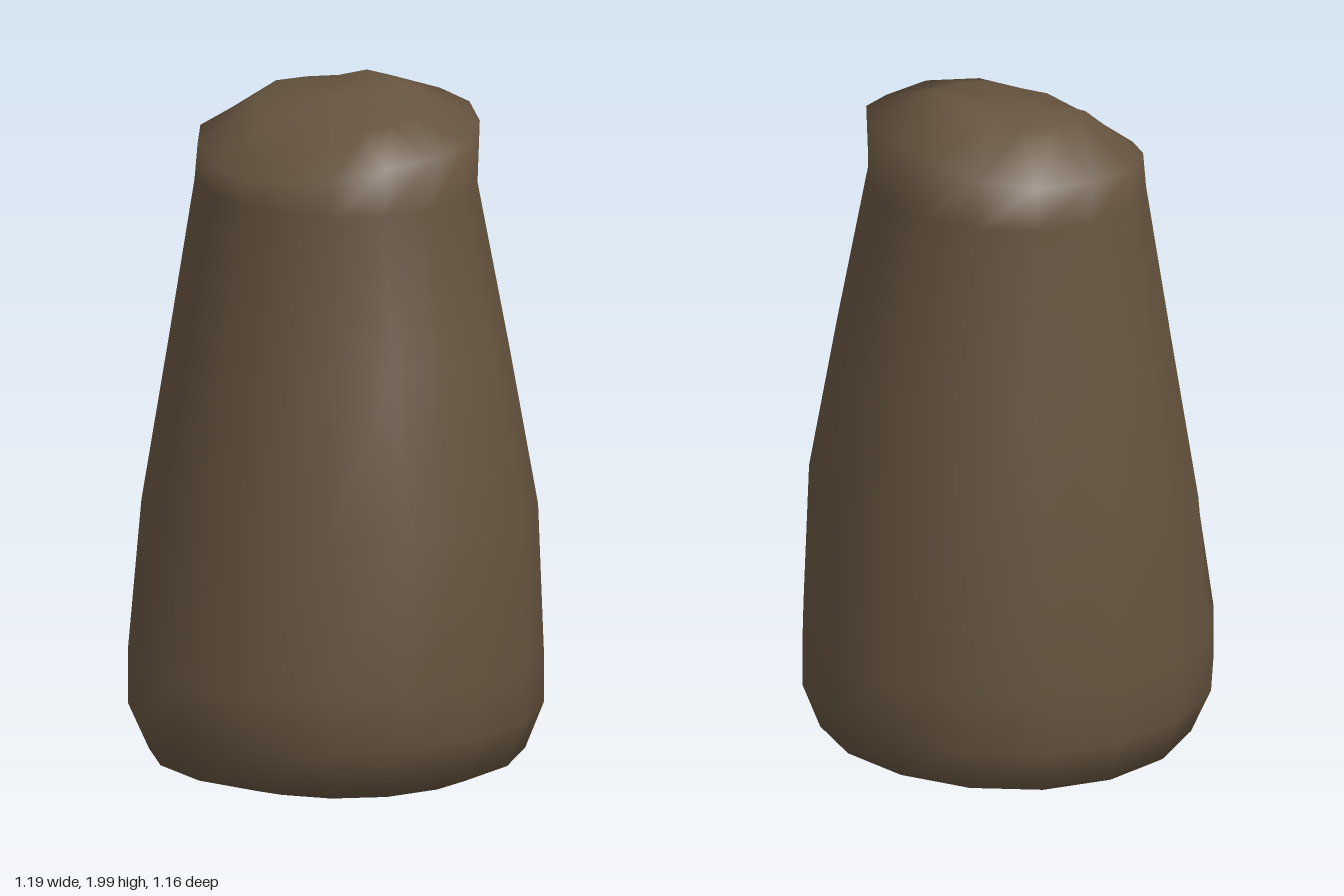
import * as THREE from 'three';

const SIDES = 16;

// Each ring: radius and height towards +x (left), -z (back), -x (right), +z (front)
const RINGS = [
  { r: [0.20, 0.20, 0.20, 0.20], y: [0.02, 0.02, 0.015, 0.02] },
  { r: [0.38, 0.41, 0.36, 0.42], y: [0.03, 0.02, 0.01, 0.02] },
  { r: [0.54, 0.53, 0.53, 0.53], y: [0.07, 0.05, 0.06, 0.065] },
  { r: [0.59, 0.58, 0.597, 0.585], y: [0.20, 0.18, 0.19, 0.20] },
  { r: [0.59, 0.58, 0.597, 0.585], y: [0.36, 0.36, 0.35, 0.36] },
  { r: [0.558, 0.575, 0.528, 0.585], y: [0.74, 0.78, 0.78, 0.82] },
  { r: [0.50, 0.50, 0.447, 0.482], y: [1.20, 1.25, 1.27, 1.27] },
  { r: [0.40, 0.44, 0.362, 0.40], y: [1.73, 1.73, 1.71, 1.71] },
  { r: [0.40, 0.435, 0.35, 0.413], y: [1.92, 1.85, 1.78, 1.865], ripple: 0.008 },
  { r: [0.20, 0.25, 0.20, 0.23], y: [1.995, 1.965, 1.89, 1.925], ripple: 0.012 },
];

// Blend the four directional values round the ring
function blend(values, a) {
  const c = Math.cos(a), s = Math.sin(a);
  return c * c * values[c > 0 ? 0 : 2] + s * s * values[s > 0 ? 1 : 3];
}

function stumpGeometry() {
  const pos = [], index = [];
  for (const ring of RINGS) {
    for (let i = 0; i < SIDES; i++) {
      const a = (i / SIDES) * Math.PI * 2;
      const r = blend(ring.r, a);
      const y = blend(ring.y, a) + (ring.ripple || 0) * Math.sin(2 * a) * Math.sin(4 * a + 1);
      pos.push(r * Math.cos(a), y, -r * Math.sin(a));
    }
  }
  const bottom = pos.length / 3, top = bottom + 1;
  pos.push(0, 0.02, 0, 0, 1.965, 0);
  const last = (RINGS.length - 1) * SIDES;
  for (let i = 0; i < SIDES; i++) {
    const n = (i + 1) % SIDES;
    // Side bands
    for (let k = 0; k < last; k += SIDES) {
      index.push(k + i, k + n, k + SIDES + n, k + i, k + SIDES + n, k + SIDES + i);
    }
    // Closing fans
    index.push(bottom, n, i, top, last + i, last + n);
  }
  const geo = new THREE.BufferGeometry();
  geo.setAttribute('position', new THREE.Float32BufferAttribute(pos, 3));
  geo.setIndex(index);
  geo.computeVertexNormals();
  return geo;
}

export function createModel() {
  const model = new THREE.Group();
  model.name = 'treeStump';
  const bark = new THREE.MeshStandardMaterial({ color: 0x66543f });
  const stump = new THREE.Mesh(stumpGeometry(), bark);
  stump.name = 'stump';
  model.add(stump);
  return model;
}
